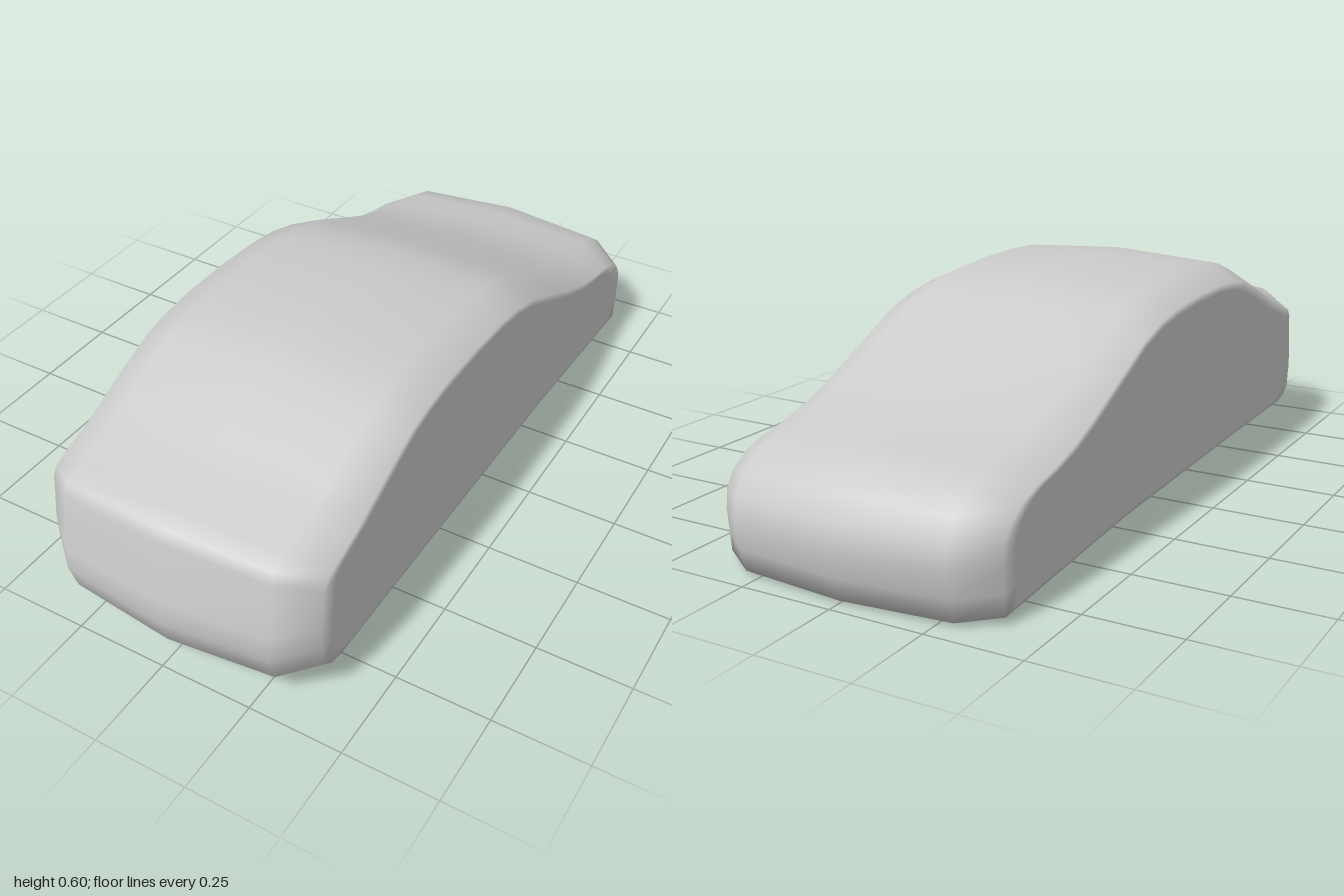
import * as THREE from 'three';

// Outline pairs, running up the nose, over the roof, down the tail and back underneath:
// [z, y on the centre line, z, y on the flat side]
const OUTLINE = [
  [0.85, 0.015, 0.80, 0.075], [0.92, 0.03, 0.85, 0.085], [0.97, 0.065, 0.88, 0.11],
  [1.0, 0.15, 0.89, 0.17], [0.995, 0.22, 0.89, 0.22], [0.975, 0.30, 0.88, 0.29],
  [0.965, 0.38, 0.875, 0.34], [0.95, 0.41, 0.86, 0.36], [0.90, 0.43, 0.83, 0.375],
  [0.78, 0.46, 0.74, 0.405], [0.70, 0.495, 0.66, 0.44], [0.60, 0.54, 0.57, 0.48],
  [0.50, 0.575, 0.48, 0.515], [0.42, 0.595, 0.41, 0.53], [0.30, 0.60, 0.30, 0.54],
  [0.15, 0.60, 0.15, 0.54], [0, 0.59, 0, 0.53], [-0.10, 0.575, -0.10, 0.515],
  [-0.20, 0.545, -0.20, 0.485], [-0.35, 0.475, -0.35, 0.415], [-0.50, 0.41, -0.49, 0.35],
  [-0.60, 0.375, -0.58, 0.315], [-0.70, 0.345, -0.67, 0.29], [-0.80, 0.33, -0.75, 0.275],
  [-0.88, 0.31, -0.81, 0.255], [-0.95, 0.26, -0.86, 0.22], [-0.99, 0.20, -0.885, 0.18],
  [-1.0, 0.14, -0.89, 0.13], [-0.985, 0.07, -0.885, 0.075], [-0.96, 0.005, -0.88, 0.02],
  [-0.30, 0, -0.30, 0.055], [0.40, 0.004, 0.40, 0.07],
];

// Cross-sections: x, blend from centre outline to side outline, shrink towards the middle
const RINGS = [
  [-0.385, 1, 0.94], [-0.385, 1, 1], [-0.29, 0.26, 1], [0, 0, 1],
  [0.29, 0.26, 1], [0.385, 1, 1], [0.385, 1, 0.94],
];

function bodyGeometry() {
  const n = OUTLINE.length;
  const pos = [];
  const index = [];

  for (const [x, t, s] of RINGS) {
    for (const [zc, yc, zs, ys] of OUTLINE) {
      const z = THREE.MathUtils.lerp(zc, zs, t);
      const y = THREE.MathUtils.lerp(yc, ys, t);
      pos.push(x, 0.2 + (y - 0.2) * s, z * s);
    }
  }

  // Skin between neighbouring cross-sections
  for (let i = 0; i < RINGS.length - 1; i++) {
    for (let j = 0; j < n; j++) {
      const k = (j + 1) % n;
      const a = i * n + j, b = i * n + k, c = a + n, d = b + n;
      index.push(a, c, d, a, d, b);
    }
  }

  // Flat sides
  const last = (RINGS.length - 1) * n;
  const contour = OUTLINE.map((p) => new THREE.Vector2(-p[2], p[3])).reverse();
  for (const f of THREE.ShapeUtils.triangulateShape(contour, [])) {
    const [a, b, c] = f.map((k) => n - 1 - k);
    index.push(last + a, last + b, last + c, a, c, b);
  }

  const g = new THREE.BufferGeometry();
  g.setAttribute('position', new THREE.Float32BufferAttribute(pos, 3));
  g.setIndex(index);
  g.computeVertexNormals();
  return g;
}

export function createModel() {
  const group = new THREE.Group();
  group.name = 'car';
  const body = new THREE.Mesh(bodyGeometry(), new THREE.MeshStandardMaterial({ color: 0xcccccc }));
  body.name = 'carBody';
  group.add(body);
  return group;
}
